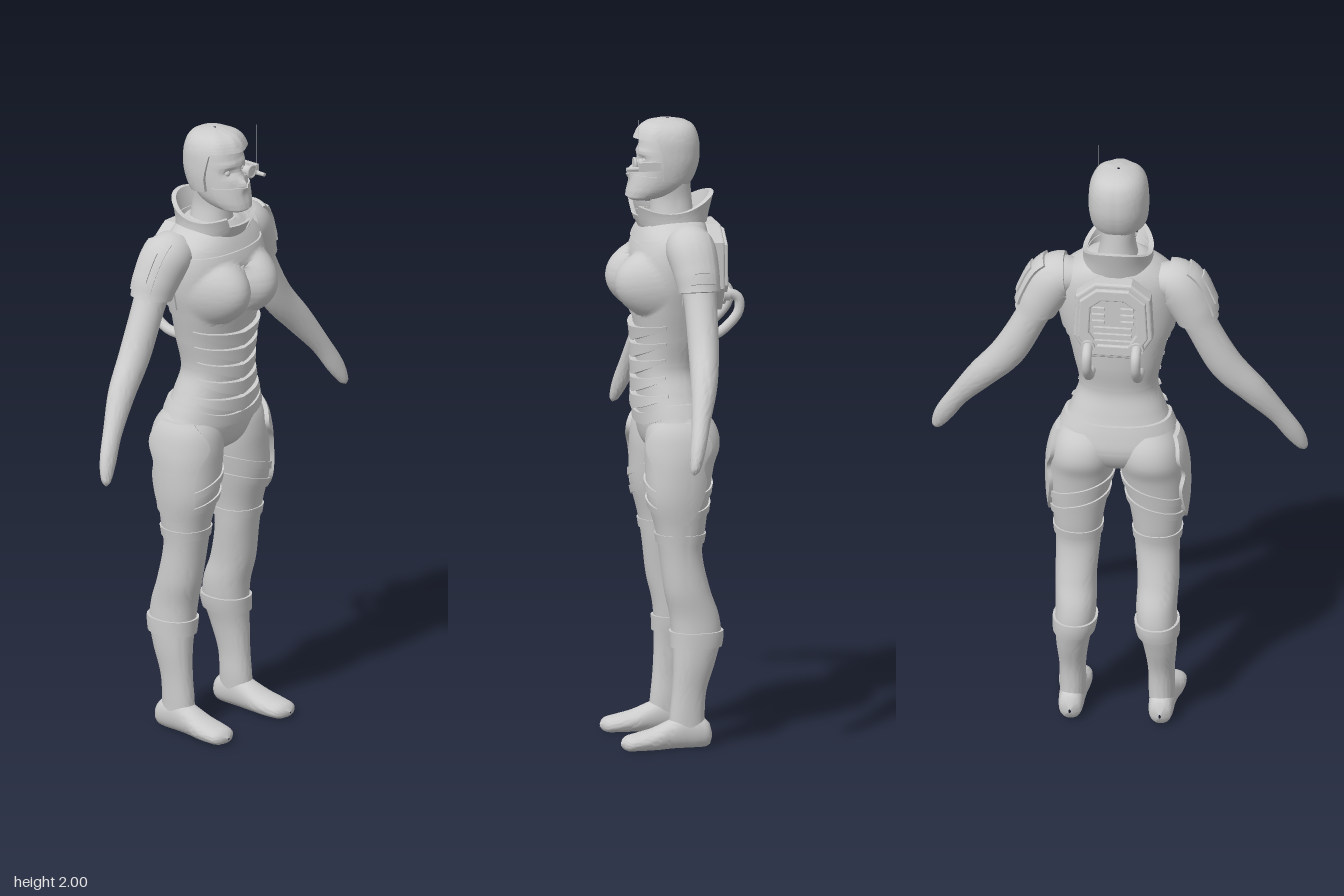
import * as THREE from 'three';
import { toCreasedNormals } from 'three/addons/utils/BufferGeometryUtils.js';

const PI = Math.PI;
const grey = new THREE.MeshStandardMaterial({ color: 0xcccccc });
const greyThin = new THREE.MeshStandardMaterial({ color: 0xcccccc, side: THREE.DoubleSide });
const Y = new THREE.Vector3(0, 1, 0), Z = new THREE.Vector3(0, 0, 1), DOWN = new THREE.Vector3(0, -1, 0);

// Smooth value of column c of rows at key k (cubic through the rows)
function sample(rows, k, c) {
  const n = rows.length - 1;
  let i = 0;
  while (i < n - 1 && (k - rows[i + 1][0]) / (rows[n][0] - rows[0][0]) > 0) i++;
  const slope = (j) => {
    const a = rows[Math.max(j - 1, 0)], b = rows[Math.min(j + 1, n)];
    return (b[c] - a[c]) / (b[0] - a[0]);
  };
  const h = rows[i + 1][0] - rows[i][0];
  const t = THREE.MathUtils.clamp((k - rows[i][0]) / h, 0, 1), t2 = t * t, t3 = t2 * t;
  return (2 * t3 - 3 * t2 + 1) * rows[i][c] + (t3 - 2 * t2 + t) * h * slope(i)
    + (3 * t2 - 2 * t3) * rows[i + 1][c] + (t3 - t2) * h * slope(i + 1);
}

// Surface from rows [key, x, y, z, radiusU, radiusV]; angle 0 points along V
function surface(rows, { V = Z, T = null, e = 0.92, mod = null } = {}) {
  const centre = (k) => new THREE.Vector3(sample(rows, k, 1), sample(rows, k, 2), sample(rows, k, 3));
  const pw = (s) => Math.sign(s) * Math.pow(Math.abs(s), e);
  return (th, k, off) => {
    const dk = 0.15 * Math.sign(rows[1][0] - rows[0][0]);
    const t = T || centre(k + dk).sub(centre(k - dk)).normalize();
    const U = V.clone().cross(t).normalize();
    const ru = Math.max(sample(rows, k, 4), 0.001), rv = Math.max(sample(rows, k, 5), 0.001);
    const s = Math.sin(th), c = Math.cos(th);
    const p = centre(k).addScaledVector(U, ru * pw(s)).addScaledVector(V, rv * pw(c));
    if (mod) mod(p, c);
    const nrm = U.clone().multiplyScalar(s / ru).addScaledVector(V, c / rv).normalize();
    return p.addScaledVector(nrm, off);
  };
}
// Upright body from rows [y, centreX, halfWidth, zFront, zBack]
const upright = (rows, opt = {}) => surface(
  rows.map(([y, x, w, f, b]) => [y, x, y, (f + b) / 2, w, (f - b) / 2]), { T: DOWN, ...opt });

// Grid laid on a surface; a raised grid gets a rim that drops back to the skin
function skin(surf, map, nu, nv, off = 0, rimU = false, rimV = off !== 0) {
  const steps = (n, rim) => {
    const a = Array.from({ length: n + 1 }, (_, i) => i / n);
    return rim ? [0, ...a, 1] : a;
  };
  const us = steps(nu, rimU), vs = steps(nv, rimV), pos = [], idx = [], w = us.length;
  vs.forEach((v, j) => us.forEach((u, i) => {
    const [th, k] = map(u, v);
    const edge = (rimU && (i === 0 || i === w - 1)) || (rimV && (j === 0 || j === vs.length - 1));
    pos.push(...surf(th, k, edge ? -0.004 : typeof off === 'function' ? off(th, k) : off).toArray());
    if (i < w - 1 && j < vs.length - 1) {
      const a = j * w + i, b = a + 1, c = a + w, d = c + 1;
      idx.push(a, c, b, b, c, d);
    }
  }));
  const g = new THREE.BufferGeometry();
  g.setAttribute('position', new THREE.Float32BufferAttribute(pos, 3));
  g.setIndex(idx);
  return g;
}
const lerp = THREE.MathUtils.lerp;
const ring = (top, bottom) => (u, v) => {
  const th = u * 2 * PI, f = (q) => (typeof q === 'function' ? q(th) : q);
  return [th, lerp(f(top), f(bottom), v)];
};

export function createModel() {
  const model = new THREE.Group();
  const add = (name, geo, mat = grey) => {
    const m = new THREE.Mesh(geo.attributes.normal ? geo : toCreasedNormals(geo, 0.75), mat);
    m.name = name;
    model.add(m);
    return m;
  };
  // Adds the left part and its mirrored right twin
  const pair = (name, geo) => {
    const g = geo.clone().scale(-1, 1, 1), ix = g.index.array;
    for (let i = 0; i < ix.length; i += 3) [ix[i], ix[i + 1]] = [ix[i + 1], ix[i]];
    add(name + 'Left', geo);
    add(name + 'Right', g);
  };

  // Torso with bust
  const torso = upright([
    [1.69, 0, 0.06, 0.07, -0.06], [1.66, 0, 0.12, 0.095, -0.08], [1.62, 0, 0.165, 0.115, -0.09],
    [1.56, 0, 0.18, 0.135, -0.095], [1.48, 0, 0.178, 0.138, -0.092], [1.4, 0, 0.162, 0.135, -0.088],
    [1.3, 0, 0.14, 0.122, -0.08], [1.2, 0, 0.124, 0.12, -0.065], [1.13, 0, 0.146, 0.118, -0.08],
    [1.06, 0, 0.175, 0.117, -0.098], [1.0, 0, 0.193, 0.112, -0.105], [0.95, 0, 0.15, 0.095, -0.085],
    [0.92, 0, 0.07, 0.06, -0.05], [0.905, 0, 0.005, 0.01, -0.01],
  ], {
    e: 0.88,
    mod: (p, c) => {
      const d = ((Math.abs(p.x) - 0.08) / 0.092) ** 2 + ((p.y - 1.475) / 0.1) ** 2;
      if (c > 0 && d < 1) p.z += 0.068 * Math.pow(1 - d, 0.85);
    },
  });
  add('torso', skin(torso, ring(1.69, 0.905), 64, 90));
  add('bodice', skin(torso, ring(1.6, (t) => 1.385 - 0.02 * Math.cos(t)), 72, 30, 0.006));
  add('yoke', skin(torso, ring(1.688, (t) => 1.635 - 0.03 * Math.cos(t) ** 2), 64, 8, 0.012));
  add('backVest', skin(torso, (u, v) => [lerp(0.52, 1.48, u) * PI, lerp(1.64, 1.42, v)], 32, 14, 0.012, true));
  // Overlapping V-shaped stomach plates
  [1.325, 1.27, 1.215, 1.16, 1.105].forEach((y, i) => {
    const map = (u, v) => {
      const s = Math.abs(2 * u - 1);
      return [(2 * u - 1) * 1.3, y - 0.02 + 0.04 * s + (0.5 - v) * 0.045 * (1 - 0.75 * s)];
    };
    add('stomachPlate' + (i + 1), skin(torso, map, 24, 3, (th) => 0.02 - 0.009 * Math.abs(th), true));
  });
  const dip = (y) => (t) => y - 0.045 * Math.max(0, Math.cos(t)) ** 2;
  add('belt', skin(torso, ring(dip(1.1), dip(1.065)), 64, 4, 0.01));

  // Legs
  const leg = upright([
    [1.08, 0.09, 0.07, 0.07, -0.07], [1.02, 0.1, 0.095, 0.105, -0.11], [0.96, 0.107, 0.103, 0.116, -0.12],
    [0.9, 0.113, 0.102, 0.116, -0.1], [0.8, 0.122, 0.092, 0.112, -0.083], [0.7, 0.125, 0.077, 0.088, -0.07],
    [0.62, 0.125, 0.07, 0.075, -0.06], [0.5, 0.13, 0.065, 0.06, -0.085], [0.42, 0.127, 0.064, 0.042, -0.113],
    [0.35, 0.13, 0.062, 0.035, -0.12], [0.27, 0.138, 0.052, 0.033, -0.1], [0.18, 0.14, 0.042, 0.037, -0.072],
    [0.1, 0.14, 0.041, 0.045, -0.066], [0.04, 0.142, 0.039, 0.05, -0.07],
  ]);
  pair('leg', skin(leg, ring(1.08, 0.04), 40, 70));
  pair('stockingHem', skin(leg, ring(0.685, 0.655), 40, 3, 0.005));
  pair('bootCuff', skin(leg, ring(0.37, 0.32), 40, 4, 0.008));
  pair('upperThighStrap', skin(leg, ring((t) => 0.85 - 0.035 * Math.sin(t), (t) => 0.825 - 0.035 * Math.sin(t)), 40, 3, 0.006));
  pair('lowerThighStrap', skin(leg, ring((t) => 0.79 - 0.03 * Math.sin(t), (t) => 0.765 - 0.03 * Math.sin(t)), 40, 3, 0.006));
  // Stepped plate on the outer thigh: rows [share of height, front angle, back angle]
  const outline = [[0, 0.75, 1.9], [0.22, 0.3, 2.15], [0.42, 0.6, 2.0], [0.6, 0.72, 2.2], [0.85, 0.7, 2.0], [1, 1.05, 1.6]];
  pair('thighPlate', skin(leg,
    (u, v) => [lerp(sample(outline, v, 1), sample(outline, v, 2), u), lerp(1.045, 0.725, v)], 16, 28, 0.014, true));
  const foot = surface([
    [-0.09, 0.142, 0.035, -0.09, 0.004, 0.006], [-0.08, 0.142, 0.04, -0.08, 0.03, 0.035],
    [-0.05, 0.142, 0.046, -0.05, 0.039, 0.05], [0, 0.142, 0.05, 0, 0.041, 0.056],
    [0.05, 0.143, 0.04, 0.05, 0.044, 0.046], [0.1, 0.146, 0.029, 0.1, 0.051, 0.035],
    [0.15, 0.148, 0.023, 0.15, 0.052, 0.028], [0.19, 0.15, 0.019, 0.19, 0.04, 0.021],
    [0.205, 0.15, 0.018, 0.205, 0.003, 0.003],
  ], { V: Y, T: Z, mod: (p) => { p.y = Math.max(p.y, 0); } });
  pair('foot', skin(foot, ring(-0.09, 0.205), 32, 30));

  // Arms, sleeves and shoulder pads
  const arm = surface([
    [0, 0.13, 1.61, -0.01, 0.05, 0.055], [1, 0.19, 1.597, -0.012, 0.066, 0.066], [2, 0.235, 1.53, -0.02, 0.06, 0.06],
    [3, 0.268, 1.455, -0.024, 0.052, 0.052], [4, 0.342, 1.315, -0.018, 0.054, 0.048], [5, 0.43, 1.21, 0, 0.046, 0.042],
    [6, 0.505, 1.11, 0.027, 0.033, 0.03], [7, 0.553, 1.03, 0.048, 0.03, 0.024],
    [8, 0.579, 0.975, 0.062, 0.016, 0.014], [8.3, 0.583, 0.962, 0.066, 0.002, 0.002],
  ], { e: 1 });
  pair('arm', skin(arm, ring(0, 8.3), 32, 60));
  pair('sleeve', skin(arm, ring(0.5, (t) => 2.75 + 0.15 * Math.sin(t)), 36, 20, 0.012));
  pair('shoulderPad', skin(arm, (u, v) => [PI / 2 + (u - 0.5) * 1.15, lerp(0.95, 2.6, v)], 10, 16, 0.021, true));
  pair('shoulderPadInset', skin(arm, (u, v) => [PI / 2 + (u - 0.5) * 0.6, lerp(1.25, 2.2, v)], 8, 12, 0.027, true));

  // Neck and flared collar
  const neck = upright([[1.79, 0, 0.058, 0.08, -0.05], [1.73, 0, 0.055, 0.075, -0.055], [1.64, 0, 0.075, 0.08, -0.065]]);
  add('neck', skin(neck, ring(1.79, 1.64), 32, 10));
  const collar = upright([[1.77, 0, 0.12, 0.165, -0.118], [1.7, 0, 0.1, 0.135, -0.1], [1.645, 0, 0.1, 0.108, -0.088]]);
  add('collarBase', skin(collar, ring(1.688, 1.645), 48, 4, 0.006), greyThin);
  const collarTop = (t) => 1.722 + 0.022 * Math.cos(2 * t) - 0.008 * Math.cos(t);
  const collarAngle = (u, v) => lerp(0.62 - 0.25 * v, 2 * PI - 0.62 + 0.25 * v, u);
  [0.011, -0.001].forEach((off, i) => add(i ? 'collarLining' : 'collar', skin(collar, (u, v) => {
    const t = collarAngle(u, v);
    return [t, lerp(collarTop(t), 1.66, v)];
  }, 48, 8, off, true), greyThin));

  // Head, mask and hair
  const head = upright([
    [1.987, 0, 0.008, 0.03, 0.012], [1.975, 0, 0.047, 0.075, -0.035], [1.94, 0, 0.074, 0.102, -0.06],
    [1.88, 0, 0.082, 0.118, -0.068], [1.83, 0, 0.081, 0.13, -0.06], [1.78, 0, 0.073, 0.143, -0.035],
    [1.75, 0, 0.058, 0.15, 0.005], [1.735, 0, 0.038, 0.145, 0.06], [1.728, 0, 0.006, 0.115, 0.1],
  ], {
    mod: (p, c) => {
      if (c < 0) return;
      const bump = (x, y, sx, sy) => Math.exp(-(((Math.abs(p.x) - x) / sx) ** 2) - ((p.y - y) / sy) ** 2);
      p.z += 0.022 * bump(0, 1.825, 0.014, 0.02) - 0.014 * bump(0.034, 1.86, 0.02, 0.013) + 0.005 * bump(0.03, 1.887, 0.04, 0.01);
    },
  });
  add('head', skin(head, ring(1.987, 1.728), 56, 50));
  add('faceMask', skin(head, (u, v) => [lerp(-1.25, 1.25, u), lerp(1.815, 1.745, v)], 30, 10, 0.005, true));
  const hairline = (t) => {
    const c = Math.cos(t);
    return c > 0.45 ? 1.93 : c > 0.1 ? lerp(1.82, 1.93, (c - 0.1) / 0.35) : 1.8 + 0.02 * c;
  };
  add('hair', skin(head, ring(1.987, hairline), 72, 24,
    (t) => 0.012 + 0.01 * Math.max(0, Math.cos(t)) + 0.003 * Math.cos(7 * t) * Math.max(0, Math.cos(t))));
  pair('ear', new THREE.SphereGeometry(1, 12, 10).scale(0.01, 0.028, 0.016).translate(0.084, 1.845, 0.025));
  pair('eye', new THREE.SphereGeometry(0.012, 14, 10).translate(0.034, 1.86, 0.098));
  // Eyepiece with aerial on the left temple
  add('headBand', skin(head, (u, v) => [lerp(0.3, 2.0, u), lerp(1.858, 1.842, v)], 20, 2, 0.007, true));
  add('eyepieceArm', new THREE.BoxGeometry(0.016, 0.028, 0.07).translate(0.078, 1.85, 0.095));
  add('eyepieceRim', new THREE.TorusGeometry(0.018, 0.005, 8, 20).translate(0.042, 1.853, 0.136));
  add('eyepieceLens', new THREE.CylinderGeometry(0.015, 0.017, 0.026, 20).rotateX(PI / 2).translate(0.042, 1.853, 0.126));
  add('eyepieceProbe', new THREE.CylinderGeometry(0.006, 0.008, 0.05, 10).rotateX(PI / 2).translate(0.068, 1.842, 0.143));
  add('aerial', new THREE.CylinderGeometry(0.0012, 0.0012, 0.15, 6).translate(0.075, 1.925, 0.13));

  // Backpack: shield-shaped case, raised frame and vent slats
  const half = [[0.055, 1.645], [0.11, 1.6], [0.117, 1.46], [0.075, 1.39]];
  const shield = (s) => [...half, ...half.map(([x, y]) => [-x, y]).reverse()]
    .map(([x, y]) => new THREE.Vector2(x * s, 1.515 + (y - 1.515) * s));
  const slab = (shape, depth, z, b) => new THREE.ExtrudeGeometry(shape,
    { depth, bevelThickness: b, bevelSize: b, bevelSegments: 3 }).translate(0, 0, z);
  add('backpackCase', slab(new THREE.Shape(shield(1)), 0.036, -0.13, 0.008));
  const frame = new THREE.Shape(shield(0.9));
  frame.holes.push(new THREE.Path(shield(0.68).reverse()));
  add('backpackFrame', slab(frame, 0.012, -0.146, 0.005));
  for (let i = 0; i < 6; i++) {
    const y = 1.445 + i * 0.024;
    if (i < 3) add('ventSlat', new THREE.BoxGeometry(0.12, 0.012, 0.016).translate(0, y, -0.14));
    else pair('ventSlat', new THREE.BoxGeometry(0.04, 0.012, 0.016).translate(0.045, y, -0.14));
  }
  // Hoses looping from the pack into the lower back
  const hose = new THREE.CatmullRomCurve3([[1.43, -0.13], [1.432, -0.165], [1.415, -0.19], [1.375, -0.19], [1.33, -0.155], [1.3, -0.11], [1.292, -0.05]]
    .map(([y, z]) => new THREE.Vector3(0.077, y, z)));
  pair('hose', new THREE.TubeGeometry(hose, 32, 0.016, 12));
  pair('hoseSocket', new THREE.CylinderGeometry(0.022, 0.022, 0.02, 16).rotateX(PI / 2).translate(0.077, 1.431, -0.15));
  return model;
}
